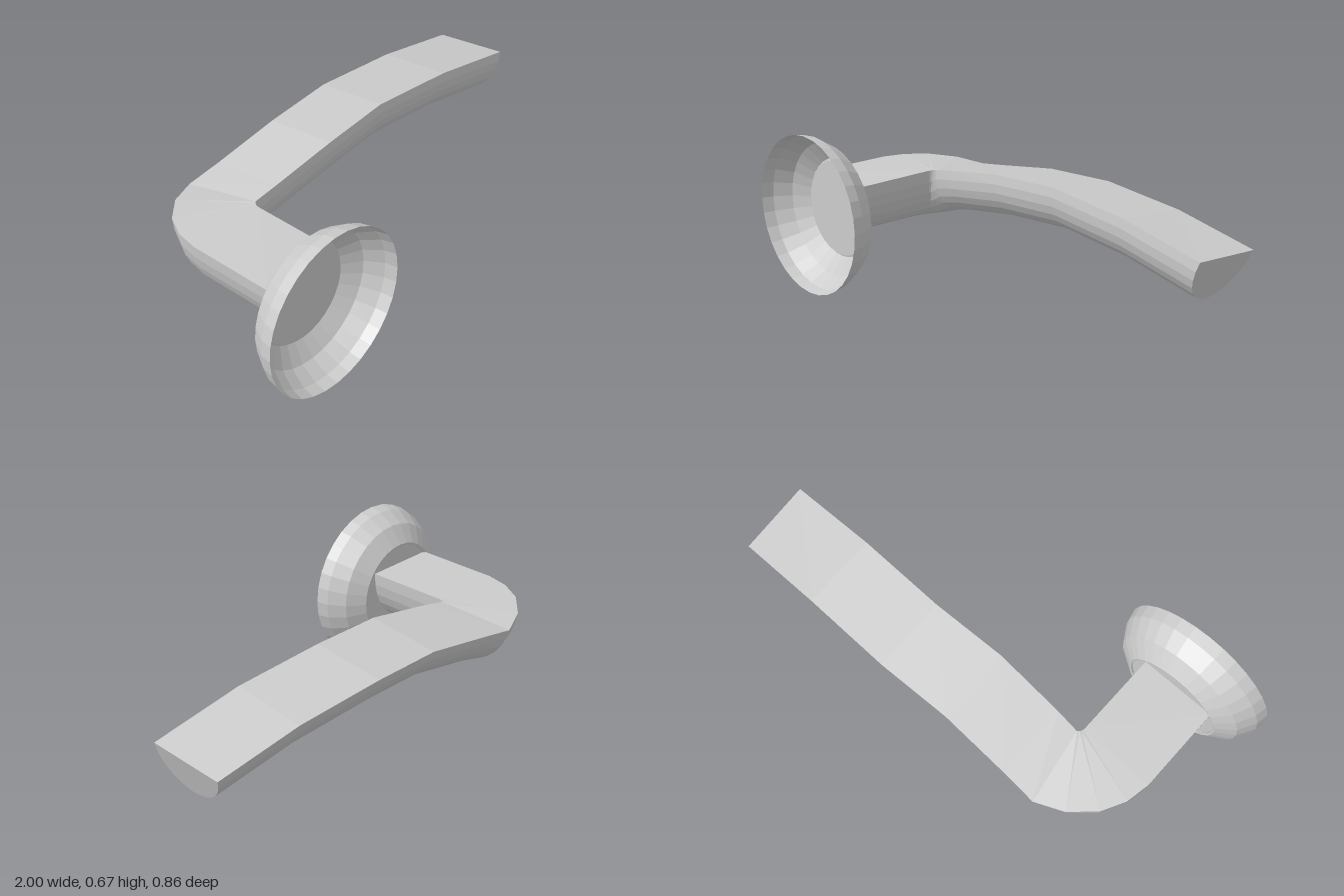
import * as THREE from 'three';

const material = new THREE.MeshStandardMaterial({ color: 0xcccccc, flatShading: true, side: THREE.DoubleSide });

// Skin D-shaped sections: flat top from inner to outer edge, half ellipse hanging below
function dSweep(stations, arcSteps) {
  const positions = [], index = [], ring = arcSteps + 1;
  for (const [inner, outer, down] of stations) {
    const a = new THREE.Vector3(...inner), b = new THREE.Vector3(...outer);
    const mid = a.clone().add(b).multiplyScalar(0.5);
    const half = a.clone().sub(mid);
    for (let j = 0; j <= arcSteps; j++) {
      const t = (j / arcSteps) * Math.PI;
      const p = mid.clone().addScaledVector(half, Math.cos(t))
        .addScaledVector(new THREE.Vector3(...down), Math.sin(t));
      positions.push(p.x, p.y, p.z);
    }
  }
  for (let i = 0; i < stations.length - 1; i++) {
    for (let j = 0; j < ring; j++) {
      const a = i * ring + j, b = i * ring + (j + 1) % ring;
      index.push(a, b, b + ring, a, b + ring, a + ring);
    }
  }
  // Caps at both ends
  const last = (stations.length - 1) * ring;
  for (let j = 1; j < ring - 1; j++) {
    index.push(last, last + j, last + j + 1, 0, j + 1, j);
  }
  const geometry = new THREE.BufferGeometry();
  geometry.setAttribute('position', new THREE.Float32BufferAttribute(positions, 3));
  geometry.setIndex(index);
  geometry.computeVertexNormals();
  return geometry;
}

export function createModel() {
  const group = new THREE.Group();
  group.name = 'doorHandle';

  // Hollow rosette, open towards the door, with a slightly recessed floor
  const profile = [[0.337, 0.43], [0.327, 0.38], [0.285, 0.31], [0.212, 0.26], [0.203, 0.262], [0.203, 0.27], [0, 0.27]]
    .map(([r, z]) => new THREE.Vector2(r, z));
  const rosette = new THREE.Mesh(new THREE.LatheGeometry(profile.reverse(), 32), material);
  rosette.name = 'rosette';
  rosette.rotation.x = Math.PI / 2;
  rosette.position.set(-0.665, 0.338, 0);
  group.add(rosette);

  // Stem, bend and lever in one sweep: [inner edge, outer edge, sag of the underside]
  const stations = [
    // stem
    [[-0.515, 0.46, 0.268], [-0.835, 0.46, 0.268], [0, -0.235, 0]],
    [[-0.515, 0.465, -0.09], [-0.835, 0.462, -0.1], [0, -0.238, 0]],
    // bend
    [[-0.514, 0.465, -0.1], [-0.816, 0.46, -0.2], [0, -0.236, 0]],
    [[-0.511, 0.466, -0.108], [-0.765, 0.455, -0.295], [0, -0.23, 0.01]],
    [[-0.507, 0.467, -0.114], [-0.67, 0.445, -0.38], [0.01, -0.215, 0.02]],
    [[-0.5, 0.468, -0.121], [-0.55, 0.43, -0.43], [0.02, -0.185, 0.03]],
    // lever
    [[-0.4, 0.487, -0.114], [-0.4, 0.454, -0.423], [0.025, -0.174, 0.035]],
    [[-0.1, 0.536, -0.104], [-0.1, 0.503, -0.417], [0.017, -0.175, 0.04]],
    [[0.22, 0.55, -0.118], [0.22, 0.516, -0.43], [0, -0.174, 0.04]],
    [[0.61, 0.522, -0.102], [0.61, 0.49, -0.416], [-0.02, -0.174, 0.04]],
    [[0.998, 0.454, -0.092], [0.985, 0.428, -0.403], [-0.06, -0.168, 0.04]],
  ];
  const lever = new THREE.Mesh(dSweep(stations, 14), material);
  lever.name = 'lever';
  group.add(lever);

  return group;
}
